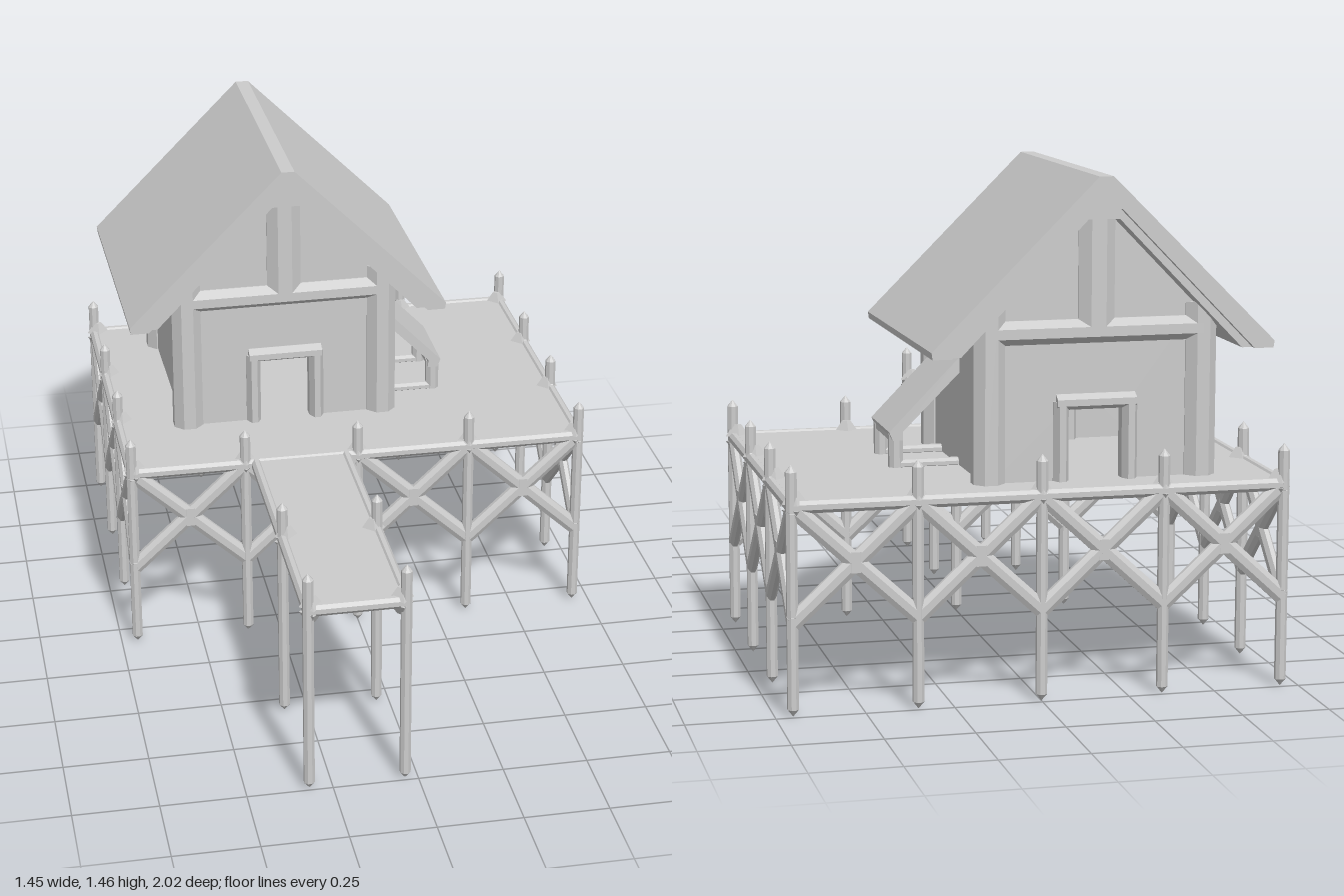
import * as THREE from 'three';

const grey = new THREE.MeshStandardMaterial({ color: 0xcccccc, flatShading: true });
grey.name = 'plain grey';
const V = (x, y, z) => new THREE.Vector3(x, y, z);
const FRONT = V(0, 0, 1), SIDE = V(1, 0, 0);

function add(parent, name, geometry) {
  const mesh = new THREE.Mesh(geometry, grey);
  mesh.name = name;
  parent.add(mesh);
  return mesh;
}

// Chamfered bar from a to b; depth is measured along normal, width across it
function bar(parent, name, a, b, width, depth = width, normal = FRONT) {
  const dir = b.clone().sub(a), length = dir.length();
  dir.normalize();
  const r = 0.5 / Math.cos(Math.PI / 8);
  const g = new THREE.CylinderGeometry(r, r, length, 8, 1).rotateY(Math.PI / 8);
  g.scale(width, 1, depth);
  const across = dir.clone().cross(normal).normalize();
  g.applyMatrix4(new THREE.Matrix4().makeBasis(across, dir, normal));
  const mid = a.clone().add(b).multiplyScalar(0.5);
  return add(parent, name, g.translate(mid.x, mid.y, mid.z));
}

// Stilt with pointed ends and a small flare where it passes the deck
function stilt(parent, x, z, inX, inZ) {
  const p = [[0, 0], [0.0165, 0.02], [0.0165, 0.68], [0, 0.7]].map(([r, y]) => new THREE.Vector2(r, y));
  const g = new THREE.LatheGeometry(p, 8, Math.PI / 8);
  add(parent, 'stilt', g.translate(x, 0, z));
  const flare = new THREE.CylinderGeometry(0.012, 0.036, 0.035, 4);
  add(parent, 'stiltFlare', flare.translate(x + inX * 0.012, 0.607, z + inZ * 0.012));
  const under = new THREE.CylinderGeometry(0.036, 0.012, 0.035, 4);
  add(parent, 'stiltFlare', under.translate(x + inX * 0.012, 0.557, z + inZ * 0.012));
}

// Edge beam with crossed braces between neighbouring stilts
function lattice(parent, a, b, bays, normal) {
  const at = (t, y) => V(a.x + (b.x - a.x) * t, y, a.z + (b.z - a.z) * t);
  bar(parent, 'edgeBeam', at(0, 0.583), at(1, 0.583), 0.035, 0.03, normal);
  for (let i = 0; i < bays; i++) {
    const t0 = i / bays, t1 = (i + 1) / bays, tm = (t0 + t1) / 2;
    bar(parent, 'brace', at(t0, 0.262), at(t1, 0.585), 0.048, 0.03, normal);
    bar(parent, 'brace', at(t0, 0.585), at(t1, 0.262), 0.048, 0.029, normal);
    bar(parent, 'braceHub', at(tm, 0.395), at(tm, 0.453), 0.06, 0.03, normal);
  }
}

function slab(parent, name, x0, x1, z0, z1) {
  const g = new THREE.BoxGeometry(x1 - x0, 0.02, z1 - z0);
  add(parent, name, g.translate((x0 + x1) / 2, 0.585, (z0 + z1) / 2));
}

function extrude(points, depth, hole) {
  const shape = new THREE.Shape(points.map(([x, y]) => new THREE.Vector2(x, y)));
  if (hole) shape.holes.push(new THREE.Path(hole.map(([x, y]) => new THREE.Vector2(x, y))));
  return new THREE.ExtrudeGeometry(shape, { depth, bevelEnabled: false }).translate(0, 0, -depth / 2);
}

function buildPlatform() {
  const g = new THREE.Group();
  g.name = 'platform';
  const X = 0.7, zb = -0.985, zf = 0.072;
  slab(g, 'mainDeck', -X, X, zb, zf);
  lattice(g, V(-X, 0, zf), V(X, 0, zf), 4, FRONT);
  lattice(g, V(-X, 0, zb), V(X, 0, zb), 4, FRONT);
  for (const s of [-1, 1]) lattice(g, V(s * X, 0, zb), V(s * X, 0, zf), 3, SIDE);
  for (let i = 0; i <= 4; i++) {
    const x = -X + i * 0.35, inX = i === 0 ? 1 : i === 4 ? -1 : 0;
    stilt(g, x, zf, inX, -1);
    stilt(g, x, zb, inX, 1);
  }
  for (const s of [-1, 1])
    for (const k of [1, 2]) stilt(g, s * X, zb + (zf - zb) * k / 3, -s, 0);
  return g;
}

function buildPier() {
  const g = new THREE.Group();
  g.name = 'pier';
  const cx = -0.177, h = 0.14;
  slab(g, 'pierDeck', cx - h, cx + h, 0.07, 0.985);
  for (const s of [-1, 1]) {
    const x = cx + s * h;
    bar(g, 'pierBeam', V(x, 0.583, 0.072), V(x, 0.583, 0.985), 0.035, 0.03, SIDE);
    for (const z of [0.56, 0.985]) stilt(g, x, z, -s, z > 0.9 ? -1 : 0);
  }
  bar(g, 'pierBeam', V(cx - h, 0.583, 0.985), V(cx + h, 0.583, 0.985), 0.035, 0.03);
  return g;
}

// Gabled roof section; drop lowers its underside
function roofProfile(drop, eave) {
  const right = [[0.02, 1.455], [0.493, 0.985], [0.49, 0.965], [eave, 0.965], [0.045, 1.365 - drop]];
  const left = right.map(([x, y]) => [-x, y]).reverse();
  return [...right, ...left];
}

function buildHouse() {
  const g = new THREE.Group();
  g.name = 'house';
  const W = 0.307, base = 0.59;
  add(g, 'roof', extrude(roofProfile(0, 0.435), 0.835));
  add(g, 'roofLining', extrude(roofProfile(0.03, 0.405), 0.79));

  for (const s of [-1, 1]) {
    // Gable wall with doorway
    const wall = add(g, 'gableWall', extrude(
      [[-W, base], [W, base], [W, 1.1], [0.04, 1.38], [-0.04, 1.38], [-W, 1.1]], 0.03,
      [[-0.085, base + 0.001], [-0.085, 0.8], [0.085, 0.8], [0.085, base + 0.001]]));
    wall.position.z = s * W;
    bar(g, 'kingPost', V(0, 1.02, s * W), V(0, 1.39, s * W), 0.105, 0.09);
    bar(g, 'tieBeam', V(-W, 1.017, s * W), V(W, 1.017, s * W), 0.068, 0.09);
    for (const e of [-1, 1]) {
      bar(g, 'cornerPost', V(e * W, base, s * W), V(e * W, 1.09, s * W), 0.09);
      bar(g, 'doorJamb', V(e * 0.1, base, s * W), V(e * 0.1, 0.82, s * W), 0.045, 0.08);
    }
    bar(g, 'doorLintel', V(-0.115, 0.818, s * W), V(0.115, 0.818, s * W), 0.045, 0.08);
    // Side wall
    add(g, 'sideWall', new THREE.BoxGeometry(0.03, 0.5, 2 * W).translate(s * W, base + 0.25, 0));
  }
  g.position.set(-0.183, 0, -0.53);
  g.rotation.y = 0.013;
  return g;
}

// Small lean-to against the side wall
function buildLeanTo() {
  const g = new THREE.Group();
  g.name = 'leanTo';
  const cz = -0.446;
  const plate = add(g, 'leanToRoof', extrude(
    [[0.13, 0.875], [0.305, 0.7], [0.305, 0.675], [0.335, 0.675], [0.345, 0.7], [0.14, 0.91], [0.13, 0.91]], 0.26));
  plate.position.z = cz;
  for (const s of [-1, 1]) {
    const z = cz + s * 0.105;
    bar(g, 'leanToLeg', V(0.322, 0.59, z), V(0.322, 0.69, z), 0.04);
    bar(g, 'leanToSill', V(0.13, 0.602, z), V(0.322, 0.602, z), 0.026, 0.035);
  }
  bar(g, 'leanToLintel', V(0.322, 0.68, cz - 0.105), V(0.322, 0.68, cz + 0.105), 0.035, 0.035, SIDE);
  return g;
}

export function createModel() {
  const model = new THREE.Group();
  model.name = 'stiltHouse';
  model.add(buildPlatform(), buildPier(), buildHouse(), buildLeanTo());
  return model;
}
